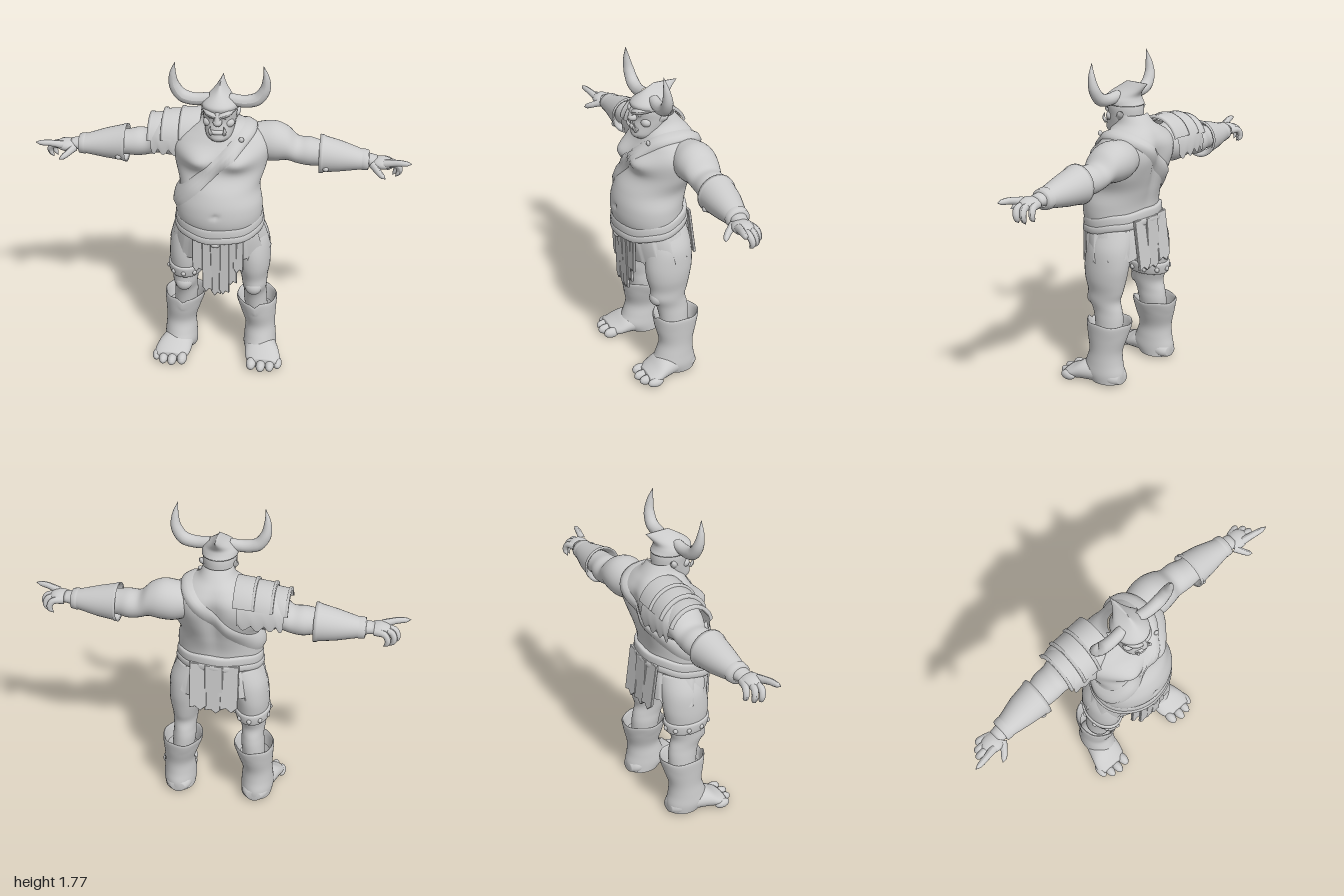
import * as THREE from 'three';

const V = (x, y, z) => new THREE.Vector3(x, y, z);
const solid = new THREE.MeshStandardMaterial({ color: 0xcccccc });
const thin = new THREE.MeshStandardMaterial({ color: 0xcccccc, side: THREE.DoubleSide });
const bell = (d, w) => Math.exp(-((d / w) ** 2));

// Surface from fn(u, v): u runs around, v runs along
function grid(nu, nv, fn, closed = true) {
  const pos = [], idx = [], cols = closed ? nu : nu + 1;
  for (let i = 0; i <= nv; i++)
    for (let j = 0; j < cols; j++) pos.push(...fn(j / nu, i / nv).toArray());
  for (let i = 0; i < nv; i++)
    for (let j = 0; j < nu; j++) {
      const k = (j + 1) % cols, a = i * cols + j, b = i * cols + k;
      idx.push(a, b, b + cols, a, b + cols, a + cols);
    }
  const g = new THREE.BufferGeometry();
  g.setAttribute('position', new THREE.Float32BufferAttribute(pos, 3));
  g.setIndex(idx);
  g.computeVertexNormals();
  return g;
}

// Catmull-Rom between table rows
function smoothRows(rows, steps) {
  if (steps === 1) return rows.slice();
  const out = [], at = i => rows[Math.min(Math.max(i, 0), rows.length - 1)];
  for (let i = 0; i < rows.length - 1; i++)
    for (let s = 0; s < steps; s++) {
      const f = s / steps;
      out.push(rows[i].map((p1, c) => {
        const p0 = at(i - 1)[c], p2 = at(i + 1)[c], p3 = at(i + 2)[c];
        return p1 + 0.5 * f * (p2 - p0 + f * (2 * p0 - 5 * p1 + 4 * p2 - p3 + f * (3 * (p1 - p2) + p3 - p0)));
      }));
    }
  out.push(rows[rows.length - 1]);
  return out;
}

// Oval cross-sections, rows [along, centreA, radiusA, maxB, minB], in rising order
const place = { y: (t, a, b) => V(a, t, b), x: (t, a, b) => V(t, b, a), z: (t, a, b) => V(b, a, t) };
function loft(rows, { axis = 'y', steps = 5, n = 32, cap = true, from = 0, to = Math.PI * 2, warp } = {}) {
  const r = smoothRows(rows, steps);
  if (cap) {
    const flat = q => [q[0], q[1], 0, (q[3] + q[4]) / 2, (q[3] + q[4]) / 2];
    r.unshift(flat(r[0]));
    r.push(flat(r[r.length - 1]));
  }
  return grid(n, r.length - 1, (u, v) => {
    const q = r[Math.round(v * (r.length - 1))], th = from + (to - from) * u;
    const p = place[axis](q[0], q[1] + q[2] * Math.sin(th), (q[3] + q[4]) / 2 + (q[3] - q[4]) / 2 * Math.cos(th));
    if (warp) warp(p, th, v);
    return p;
  }, to - from > 6.28);
}

// Tapering tube through points
function limb(pts, radii, seg = 18, sides = 12) {
  const curve = new THREE.CatmullRomCurve3(pts.map(p => V(...p)));
  const g = new THREE.TubeGeometry(curve, seg, 1, sides), p = g.attributes.position, v = V();
  for (let k = 0; k < p.count; k++) {
    const u = Math.floor(k / (sides + 1)) / seg, s = u * (radii.length - 1), i = Math.min(Math.floor(s), radii.length - 2);
    const c = curve.getPointAt(u), rad = radii[i] + (radii[i + 1] - radii[i]) * (s - i);
    v.fromBufferAttribute(p, k).sub(c).multiplyScalar(rad).add(c);
    p.setXYZ(k, v.x, v.y, v.z);
  }
  g.computeVertexNormals();
  return g;
}

const ball = (x, y, z, rx, ry, rz) => new THREE.SphereGeometry(1, 20, 14).scale(rx, ry, rz).translate(x, y, z);

function mirrored(g) {
  const m = g.clone().scale(-1, 1, 1), ix = m.index.array;
  for (let i = 0; i < ix.length; i += 3) [ix[i], ix[i + 1]] = [ix[i + 1], ix[i]];
  m.computeVertexNormals();
  return m;
}

export function createModel() {
  const root = new THREE.Group();
  const add = (name, g, mat = solid) => {
    const m = new THREE.Mesh(g, mat);
    m.name = name;
    root.add(m);
  };
  const pair = (name, g, mat) => { add(name + 'Left', g, mat); add(name + 'Right', mirrored(g), mat); };

  // Torso with chest, belly, shoulder blades and spine
  const body = smoothRows([[0.8, 0, 0.19, 0.17, -0.13], [0.9, 0, 0.226, 0.23, -0.135], [1.0, 0, 0.23, 0.235, -0.14],
    [1.09, 0, 0.214, 0.208, -0.165], [1.18, 0, 0.24, 0.155, -0.19], [1.28, 0, 0.258, 0.135, -0.205],
    [1.34, 0, 0.235, 0.105, -0.205], [1.39, 0, 0.165, 0.08, -0.18], [1.43, 0, 0.1, 0.06, -0.145], [1.48, 0, 0.078, 0.05, -0.1]], 5);
  const torsoAt = (th, y) => {
    let i = 0;
    while (i < body.length - 2 && body[i + 1][0] < y) i++;
    const A = body[i], B = body[i + 1], f = (y - A[0]) / (B[0] - A[0]);
    const [, , hw, zf, zb] = A.map((a, c) => a + (B[c] - a) * f);
    const p = V(hw * Math.sin(th), y, (zf + zb) / 2 + (zf - zb) / 2 * Math.cos(th));
    const front = Math.max(0, Math.cos(th)), back = Math.max(0, -Math.cos(th));
    p.z += front * 0.05 * bell(Math.abs(p.x) - 0.11, 0.085) * bell(y - 1.255, 0.05);
    p.z -= front * 0.012 * bell(p.x, 0.015) * bell(y - 0.98, 0.015);
    p.z += back * 0.025 * bell(p.x, 0.04) * bell(y - 1.2, 0.16);
    p.z -= back * 0.018 * bell(Math.abs(p.x) - 0.12, 0.06) * bell(y - 1.27, 0.08);
    return p;
  };
  add('torso', grid(72, 80, (u, v) => torsoAt(u * Math.PI * 2, 0.8 + 0.68 * v)));

  // Strap around the torso on a slanting plane
  add('chestStrap', grid(90, 4, (u, v) => {
    const th = u * Math.PI * 2, c = 1.24 + 0.1 * (v - 0.5);
    let lo = 0.82, hi = 1.47;
    for (let k = 0; k < 30; k++) {
      const y = (lo + hi) / 2;
      if (y - c - torsoAt(th, y).x < 0) lo = y; else hi = y;
    }
    const p = torsoAt(th, lo), out = v === 0 || v === 1 ? 0.002 : 0.016;
    return p.add(V(Math.sin(th), 0.35, Math.cos(th)).multiplyScalar(out));
  }), thin);
  add('strapBuckle', ball(0.12, 1.372, 0.095, 0.014, 0.014, 0.01));

  // Head and face
  add('head', loft([[1.36, 0, 0.045, 0.11, 0.02], [1.385, 0, 0.068, 0.132, -0.03], [1.43, 0, 0.08, 0.125, -0.075],
    [1.47, 0, 0.086, 0.115, -0.082], [1.52, 0, 0.088, 0.12, -0.08], [1.57, 0, 0.07, 0.1, -0.06]]));
  add('nose', ball(0, 1.477, 0.125, 0.024, 0.022, 0.028));
  add('noseBridge', limb([[0, 1.54, 0.115], [0, 1.51, 0.128], [0, 1.475, 0.138]], [0.014, 0.015, 0.016]));
  add('lowerLip', ball(0, 1.418, 0.118, 0.045, 0.014, 0.018));
  add('chin', ball(0, 1.388, 0.105, 0.042, 0.028, 0.028));
  pair('brow', limb([[0.005, 1.508, 0.126], [0.04, 1.52, 0.12], [0.085, 1.528, 0.065]], [0.015, 0.016, 0.006]));
  pair('eye', ball(0.036, 1.497, 0.104, 0.014, 0.009, 0.01));
  pair('cheek', ball(0.05, 1.458, 0.074, 0.032, 0.026, 0.028));
  pair('tusk', limb([[0.034, 1.41, 0.122], [0.039, 1.433, 0.136], [0.035, 1.46, 0.134]], [0.01, 0.008, 0.001]));
  pair('ear', limb([[0.072, 1.47, 0.0], [0.088, 1.485, -0.015], [0.1, 1.505, -0.035]], [0.02, 0.016, 0.001]));

  // Helmet with swept crest and horns
  add('helmet', loft([[1.525, 0, 0.094, 0.128, -0.085], [1.55, 0, 0.092, 0.135, -0.072], [1.575, 0, 0.072, 0.115, -0.07],
    [1.61, 0, 0.033, 0.065, -0.095], [1.645, 0, 0.004, 0.01, -0.125]]));
  pair('horn', limb([[0.05, 1.57, 0.03], [0.13, 1.562, 0.035], [0.195, 1.58, 0.035], [0.233, 1.635, 0.04],
    [0.239, 1.7, 0.05], [0.226, 1.768, 0.06]], [0.03, 0.032, 0.034, 0.029, 0.018, 0.001], 32, 16));

  // Arms, bracers and hands
  pair('arm', loft([[0.13, -0.09, 0.09, 1.37, 1.2], [0.21, -0.1, 0.108, 1.388, 1.18], [0.28, -0.1, 0.112, 1.392, 1.18],
    [0.345, -0.1, 0.1, 1.365, 1.188], [0.4, -0.102, 0.086, 1.315, 1.172], [0.46, -0.1, 0.086, 1.313, 1.163],
    [0.52, -0.092, 0.076, 1.302, 1.168], [0.6, -0.09, 0.07, 1.29, 1.165], [0.72, -0.08, 0.05, 1.265, 1.175],
    [0.82, -0.07, 0.04, 1.245, 1.19]], { axis: 'x' }));
  pair('bracer', loft([[0.56, -0.09, 0.07, 1.3, 1.16], [0.525, -0.09, 0.092, 1.322, 1.14], [0.517, -0.09, 0.103, 1.335, 1.125],
    [0.535, -0.09, 0.102, 1.333, 1.127], [0.54, -0.09, 0.097, 1.328, 1.131], [0.63, -0.088, 0.085, 1.305, 1.143],
    [0.74, -0.08, 0.06, 1.27, 1.163], [0.745, -0.08, 0.063, 1.273, 1.16], [0.775, -0.078, 0.06, 1.268, 1.164],
    [0.78, -0.078, 0.04, 1.25, 1.18]], { axis: 'x', steps: 1, cap: false }), thin);
  pair('bracerStud', ball(0.555, 1.18, -0.01, 0.016, 0.016, 0.014));
  pair('palm', ball(0.845, 1.213, -0.06, 0.062, 0.032, 0.054));
  const fingerRadii = [0.022, 0.02, 0.018, 0.017, 0.016, 0.013, 0.001];
  pair('indexFinger', limb([[0.86, 1.222, -0.03], [0.93, 1.238, -0.012], [0.965, 1.24, -0.005], [1, 1.243, 0]], fingerRadii));
  [[0.94, -0.055, 1.135], [0.925, -0.085, 1.13], [0.895, -0.115, 1.14]].forEach(([x, z, y], i) =>
    pair('curledFinger' + (i + 1), limb([[x - 0.07, 1.21, z * 0.7 - 0.015], [x - 0.015, 1.205, z], [x, 1.17, z - 0.008],
      [x - 0.02, y, z - 0.005]], fingerRadii)));
  pair('thumb', limb([[0.8, 1.208, -0.035], [0.83, 1.19, 0.01], [0.85, 1.178, 0.03], [0.868, 1.168, 0.042]], fingerRadii));

  // Shoulder armour on one side: ragged hide under overlapping ridged plates
  add('shoulderHide', loft([[-0.37, -0.1, 0.125, 1.38, 1.17], [-0.31, -0.1, 0.134, 1.41, 1.16], [-0.22, -0.1, 0.138, 1.415, 1.15],
    [-0.13, -0.1, 0.138, 1.42, 1.15]], { axis: 'x', steps: 7, cap: false, from: -1.75, to: 1.75, n: 36, warp: (p, th, v) => {
    if (Math.abs(th) > 1.2) p.y -= 0.035 * Math.abs(Math.sin(v * 13)) * (Math.abs(th) - 1.2) / 0.55;
  } }), thin);
  [[-0.39, -0.3, 0.125, 1.405], [-0.315, -0.205, 0.138, 1.43], [-0.22, -0.11, 0.142, 1.445]].forEach(([a, b, r, top], i) => {
    add('shoulderPlate' + (i + 1), loft([[a, -0.1, r - 0.012, top - 0.015, 1.15], [a, -0.1, r + 0.004, top + 0.004, 1.15],
      [a + 0.014, -0.1, r + 0.004, top + 0.004, 1.15], [a + 0.016, -0.1, r - 0.002, top - 0.002, 1.15],
      [b, -0.1, r, top + 0.008, 1.15], [b, -0.1, r - 0.012, top - 0.01, 1.15]],
    { axis: 'x', steps: 1, cap: false, from: -1.25, to: 1.4, n: 24 }), thin);
  });

  // Rolled belt, lower at the front
  const tilt = p => { p.y -= 0.2 * p.z; };
  [[0.915, 0.036, 0.012], [0.882, 0.024, 0.017]].forEach(([y, h, o], i) =>
    add('belt' + (i + 1), loft([[y - h, 0, 0.215, 0.215, -0.135], [y - h * 0.7, 0, 0.222 + o, 0.225 + o * 0.7, -0.145 - o],
      [y + h * 0.7, 0, 0.222 + o, 0.225 + o * 0.7, -0.145 - o], [y + h, 0, 0.215, 0.215, -0.135]],
    { cap: false, n: 64, warp: (p, th) => { p.y += 0.003 * Math.sin(th * 7); tilt(p); } }), thin));
  add('beltKnot', ball(0, 0.812, 0.225, 0.026, 0.016, 0.018));

  // Pleated skirt with uneven hem
  add('skirt', loft([[0.705, 0, 0.277, 0.178, -0.175], [0.82, 0, 0.25, 0.205, -0.165], [0.91, 0, 0.22, 0.205, -0.14]],
    { cap: false, n: 112, warp: (p, th, v) => {
      const saw = (th / (Math.PI * 2) * 14 + 0.5) % 1, k = 1 + (1 - v) * 0.06 * (saw - 0.6);
      p.x *= k;
      p.z *= k;
      p.y += (1 - v) * (0.03 * (saw - 0.5) - 0.025 * Math.cos(th));
      if (v > 0.6) p.y -= (v - 0.6) / 0.4 * 0.2 * p.z;
    } }), thin);

  // Hanging cloth strips, front and back
  const strip = (x, w, top, bottom, zTop, zBottom) => {
    const s = new THREE.Shape([[-w, top], [-w, bottom + 0.03], [-w * 0.3, bottom], [w * 0.3, bottom + 0.022], [w, bottom + 0.012], [w, top]]
      .map(q => new THREE.Vector2(...q)));
    const g = new THREE.ExtrudeGeometry(s, { depth: 0.01, bevelSize: 0.003, bevelThickness: 0.003, bevelSegments: 1 });
    const p = g.attributes.position;
    for (let i = 0; i < p.count; i++)
      p.setZ(i, p.getZ(i) - 0.005 + zTop + (zBottom - zTop) * (top - p.getY(i)) / (top - bottom));
    g.computeVertexNormals();
    return g.translate(x, 0, 0);
  };
  [[-0.1, 0.62], [-0.045, 0.5], [0, 0.475], [0.045, 0.49], [0.085, 0.55], [0.12, 0.63]].forEach(([x, y], i) =>
    add('frontCloth' + (i + 1), strip(x, 0.025, 0.84, y, 0.208 - Math.abs(x) * 0.15, 0.185 + 0.006 * (i % 2)), thin));
  [[-0.085, 0.66], [0, 0.64], [0.085, 0.655]].forEach(([x, y], i) =>
    add('backCloth' + (i + 1), strip(x, 0.046, 0.93, y, -0.155 + Math.abs(x) * 0.15, -0.18 + 0.008 * (i % 2)), thin));

  // Legs with thigh, knee and calf
  pair('leg', loft([[0.25, 0.205, 0.06, 0.05, -0.1], [0.36, 0.195, 0.064, 0.065, -0.105], [0.42, 0.193, 0.062, 0.082, -0.098],
    [0.475, 0.193, 0.068, 0.112, -0.085], [0.53, 0.19, 0.074, 0.115, -0.1], [0.6, 0.186, 0.09, 0.132, -0.115],
    [0.68, 0.18, 0.097, 0.138, -0.128], [0.78, 0.155, 0.11, 0.13, -0.13], [0.88, 0.11, 0.11, 0.12, -0.12]]));
  pair('kneecap', ball(0.193, 0.475, 0.08, 0.046, 0.045, 0.04));

  // Studded band on one thigh
  add('thighBand', loft([[0.53, -0.188, 0.075, 0.11, -0.1], [0.538, -0.188, 0.092, 0.13, -0.118], [0.59, -0.186, 0.099, 0.142, -0.125],
    [0.6, -0.186, 0.085, 0.128, -0.11]], { cap: false }), thin);
  for (let i = 0; i < 10; i++) {
    const a = i * Math.PI / 5;
    add('bandStud', ball(-0.187 + 0.095 * Math.sin(a), 0.563, 0.007 + 0.128 * Math.cos(a), 0.013, 0.015, 0.013));
  }

  // Boots with open notched cuffs
  pair('boot', loft([[0.02, 0.222, 0.085, 0.07, -0.128], [0.07, 0.225, 0.092, 0.115, -0.132], [0.13, 0.225, 0.088, 0.095, -0.12],
    [0.2, 0.224, 0.084, 0.075, -0.118], [0.28, 0.213, 0.098, 0.09, -0.14], [0.355, 0.203, 0.112, 0.1, -0.158],
    [0.36, 0.203, 0.102, 0.09, -0.148], [0.28, 0.21, 0.085, 0.075, -0.125]], { cap: false, n: 48, warp: (p, th) => {
    if (p.y > 0.3) p.y -= 0.022 * bell(Math.sin(th / 2), 0.08) - 0.004 * Math.sin(th * 5);
  } }), thin);

  // Bare feet and toes
  pair('foot', loft([[-0.13, 0.045, 0.03, 0.26, 0.18], [-0.09, 0.055, 0.052, 0.295, 0.15], [0.0, 0.065, 0.062, 0.315, 0.145],
    [0.08, 0.063, 0.06, 0.34, 0.15], [0.14, 0.045, 0.042, 0.355, 0.16], [0.185, 0.036, 0.028, 0.345, 0.185]], { axis: 'z' }));
  [[0.195, 0.225, 0.03], [0.25, 0.238, 0.028], [0.3, 0.228, 0.027], [0.342, 0.195, 0.026]].forEach(([x, z, r], i) => {
    pair('toe' + (i + 1), ball(x, r + 0.004, z - 0.04, r * 0.92, r, 0.045));
    pair('toenail' + (i + 1), ball(x, r * 1.5, z - 0.014, r * 0.55, r * 0.4, 0.014));
  });

  return root;
}
